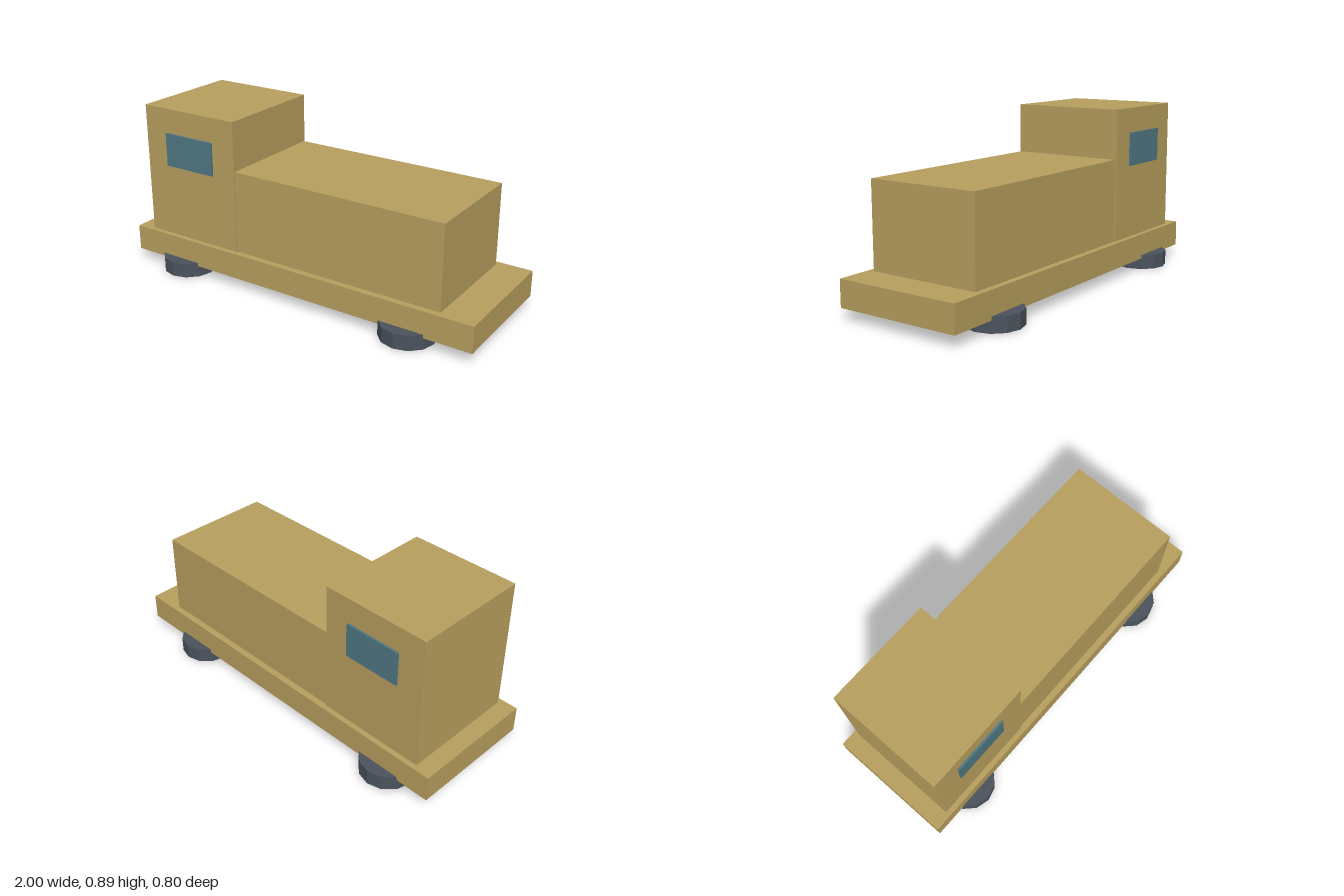
import * as THREE from 'three';

export function createModel() {
  const model = new THREE.Group();
  model.name = 'shunterLocomotive';

  const mat = (name, color) => {
    const m = new THREE.MeshStandardMaterial({ color });
    m.name = name;
    return m;
  };
  const tan = mat('tanPaint', 0xb89f5e);
  const glass = mat('blueGlass', 0x4f7883);
  const rubber = mat('darkWheel', 0x4b535d);
  rubber.flatShading = true;

  // Box given by its minimum and maximum corners
  const box = (name, material, [x0, y0, z0], [x1, y1, z1]) => {
    const mesh = new THREE.Mesh(new THREE.BoxGeometry(x1 - x0, y1 - y0, z1 - z0), material);
    mesh.position.set((x0 + x1) / 2, (y0 + y1) / 2, (z0 + z1) / 2);
    mesh.name = name;
    model.add(mesh);
  };

  // Chassis, tall cab and lower engine hood
  box('chassis', tan, [-1, 0.06, -0.331], [1, 0.196, 0.331]);
  box('cab', tan, [-0.91, 0.196, -0.304], [-0.34, 0.886, 0.304]);
  box('hood', tan, [-0.34, 0.196, -0.298], [0.82, 0.628, 0.298]);

  // Raised side windows, set slightly into the cab walls
  box('frontWindow', glass, [-0.772, 0.582, 0.3], [-0.474, 0.757, 0.315]);
  box('backWindow', glass, [-0.772, 0.582, -0.315], [-0.474, 0.757, -0.3]);

  // Four wheels lying flat under the chassis
  const wheelGeometry = new THREE.CylinderGeometry(0.141, 0.141, 0.078, 12);
  for (const x of [-0.705, 0.635]) {
    for (const z of [-0.257, 0.257]) {
      const wheel = new THREE.Mesh(wheelGeometry, rubber);
      wheel.position.set(x, 0.039, z);
      wheel.name = 'wheel';
      model.add(wheel);
    }
  }

  return model;
}
